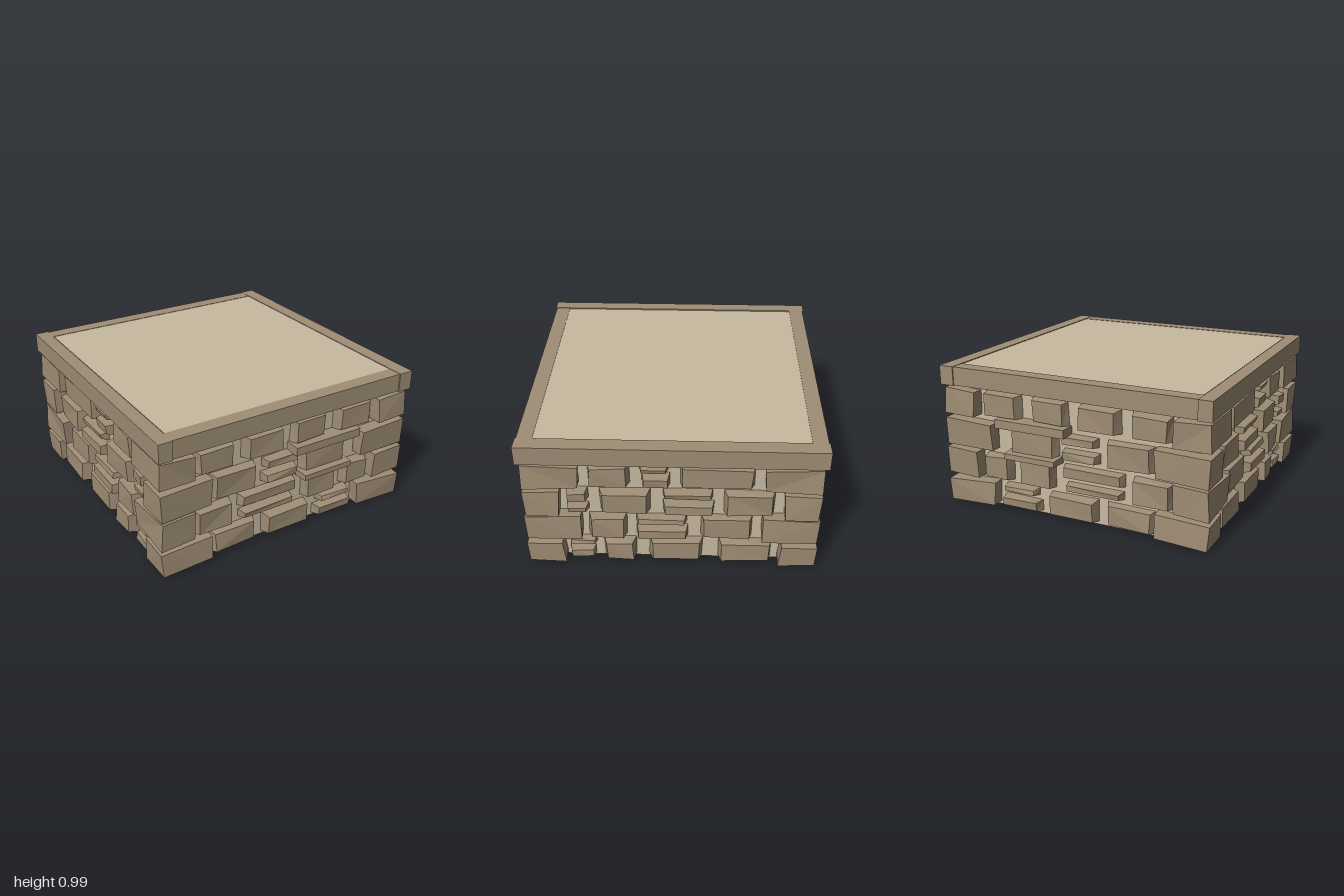
import * as THREE from 'three';

const CORE = 0.88; // half width of the mortar block

// Field stones as [u0, u1, y0, y1, lean]; u runs along the wall, lean shifts the outer face
const FRONT = [
  [-0.58, -0.24, 0.02, 0.18, -0.005], [-0.17, 0.19, 0.02, 0.18, 0], [0.26, 0.56, 0.02, 0.1, 0], [0.28, 0.54, 0.13, 0.185, 0],
  [-0.71, -0.43, 0.21, 0.39, 0], [-0.37, 0.08, 0.3, 0.395, 0.005], [-0.36, 0.06, 0.21, 0.27, 0],
  [0.15, 0.42, 0.21, 0.4, -0.01], [0.48, 0.69, 0.21, 0.385, 0],
  [-0.58, -0.24, 0.43, 0.61, 0], [-0.18, 0.08, 0.54, 0.61, 0], [-0.19, 0.08, 0.43, 0.505, 0], [0.12, 0.47, 0.42, 0.62, 0],
  [-0.7, -0.42, 0.655, 0.825, 0], [-0.35, -0.05, 0.655, 0.825, 0.01], [0.04, 0.31, 0.655, 0.825, 0], [0.4, 0.68, 0.655, 0.825, 0],
];
const SIDE = [
  [0.51, 0.7, 0.13, 0.185, 0], [0.52, 0.7, 0.02, 0.095, 0], [0.24, 0.465, 0.02, 0.175, 0], [-0.21, 0.155, 0.02, 0.185, 0], [-0.68, -0.31, 0.02, 0.18, 0],
  [0.3, 0.56, 0.21, 0.395, 0], [-0.1, 0.24, 0.33, 0.39, 0], [-0.11, 0.24, 0.21, 0.3, 0], [-0.54, -0.19, 0.215, 0.39, 0],
  [0.55, 0.7, 0.52, 0.61, 0], [0.55, 0.7, 0.425, 0.485, 0], [0.14, 0.48, 0.43, 0.605, 0],
  [-0.27, 0.06, 0.545, 0.61, 0], [-0.28, 0.06, 0.425, 0.515, 0], [-0.68, -0.34, 0.425, 0.605, 0],
  [0.27, 0.55, 0.655, 0.825, 0], [0.02, 0.21, 0.77, 0.825, 0], [0.01, 0.2, 0.65, 0.74, 0], [-0.54, -0.05, 0.655, 0.825, 0],
];

function seeded(seed) {
  return () => {
    seed = (seed * 16807) % 2147483647;
    return seed / 2147483647 - 0.5;
  };
}

// Flat-sided block from an inner and an outer quad, each counter-clockwise seen from outside
function blockGeometry(inner, outer, map, flip) {
  const p = [...inner, ...outer].map(map);
  const quads = [[4, 5, 6, 7], [1, 0, 3, 2], [0, 1, 5, 4], [1, 2, 6, 5], [2, 3, 7, 6], [3, 0, 4, 7]];
  const pos = [];
  for (const [a, b, c, d] of quads) {
    const order = flip ? [a, c, b, a, d, c] : [a, b, c, a, c, d];
    for (const i of order) pos.push(...p[i]);
  }
  const g = new THREE.BufferGeometry();
  g.setAttribute('position', new THREE.Float32BufferAttribute(pos, 3));
  g.computeVertexNormals();
  return g;
}

const rect = (u0, u1, y0, y1, d) => [[u0, y0, d], [u1, y0, d], [u1, y1, d], [u0, y1, d]];

export function createModel() {
  const model = new THREE.Group();
  const mortar = new THREE.MeshStandardMaterial({ name: 'pale mortar', color: 0xc8baa1 });
  const stone = new THREE.MeshStandardMaterial({ name: 'brown stone', color: 0x9f8d75 });

  const add = (name, geometry, material, parent = model) => {
    const m = new THREE.Mesh(geometry, material);
    m.name = name;
    parent.add(m);
  };
  const box = (name, x0, x1, y0, y1, z0, z1, material, parent) => {
    const g = new THREE.BoxGeometry(x1 - x0, y1 - y0, z1 - z0);
    g.translate((x0 + x1) / 2, (y0 + y1) / 2, (z0 + z1) / 2);
    add(name, g, material, parent);
  };

  // Mortar block
  box('core', -CORE, CORE, 0, 0.985, -CORE, CORE, mortar);

  // Capping rim: two full-length sides with the front and back set between them
  const rim = new THREE.Group();
  rim.name = 'rim';
  model.add(rim);
  box('rimRight', -0.983, -0.888, 0.857, 0.99, -0.992, 0.992, stone, rim);
  box('rimLeft', 0.876, 0.98, 0.857, 0.99, -0.99, 0.99, stone, rim);
  for (const s of [-1, 1]) {
    const z = [s * 0.88, s * 0.983].sort((a, b) => a - b);
    box(s > 0 ? 'rimFront' : 'rimBack', -0.888, 0.876, 0.86, 0.988, z[0], z[1], stone, rim);
  }

  // Tapered field stones on one wall
  function wall(name, list, seed, map, flip) {
    const group = new THREE.Group();
    group.name = name;
    model.add(group);
    const rnd = seeded(seed);
    for (const [u0, u1, y0, y1, lean] of list) {
      const thin = y1 - y0 < 0.11;
      const inU = thin ? 0.017 : 0.023;
      const jit = thin ? 0.006 : 0.012;
      const depth = 0.068 + rnd() * 0.02;
      const inner = rect(u0, u1, y0, y1, -0.01).map(([u, y, d]) => [u + rnd() * jit, y + rnd() * jit, d]);
      const outer = rect(u0 + inU + lean, u1 - inU + lean, y0 + 0.014, y1 - 0.01, depth)
        .map(([u, y, d]) => [u + rnd() * jit, y + rnd() * jit, d + rnd() * 0.015]);
      add('fieldStone', blockGeometry(inner, outer, map, flip), stone, group);
    }
    return group;
  }

  for (const s of [1, -1]) {
    const faceMap = ([u, y, d]) => [u, y, s * (CORE + d)];
    const group = wall(s > 0 ? 'frontWall' : 'backWall', FRONT, 77, faceMap, s < 0);
    wall(s > 0 ? 'leftWall' : 'rightWall', SIDE, 913, ([u, y, d]) => [s * (CORE + d), y, u], s > 0);

    // Two thin ledges that stand proud of the front and back walls
    const ledge = (u0, u1, y0, y1, d) => add('ledgeStone',
      blockGeometry(rect(u0, u1, y0, y1, -0.01), rect(u0 + 0.005, u1 - 0.005, y0 + 0.004, y1 - 0.004, d), faceMap, s < 0),
      stone, group);
    ledge(0.025, 0.565, 0.597, 0.665, 0.105);
    ledge(0.095, 0.49, 0.393, 0.44, 0.12);
  }

  // Corner stones, alternating long and short in each course
  const corners = new THREE.Group();
  corners.name = 'cornerStones';
  model.add(corners);
  const courses = [[0.02, 0.185, 0.6, 0.73], [0.215, 0.405, 0.73, 0.6], [0.425, 0.615, 0.6, 0.74], [0.65, 0.83, 0.73, 0.6]];
  for (const sx of [-1, 1]) {
    for (const sz of [-1, 1]) {
      const rnd = seeded(sx > 0 ? 4211 : 1733);
      for (const [y0, y1, x0, z0] of courses) {
        const tilt = rnd() * 0.02;
        const shake = ([x, y, z]) => [
          x + rnd() * 0.02,
          y + rnd() * 0.014 + (x > 0.9 ? tilt : -tilt),
          z + rnd() * 0.02,
        ];
        const inner = rect(x0, 0.968, y0, y1, z0).map(shake);
        const outer = rect(x0, 0.968, y0, y1, 0.97).map(shake);
        const map = ([x, y, z]) => [sx * x, y, sz * z];
        add('cornerStone', blockGeometry(inner, outer, map, sx * sz < 0), stone, corners);
      }
    }
  }
  return model;
}
